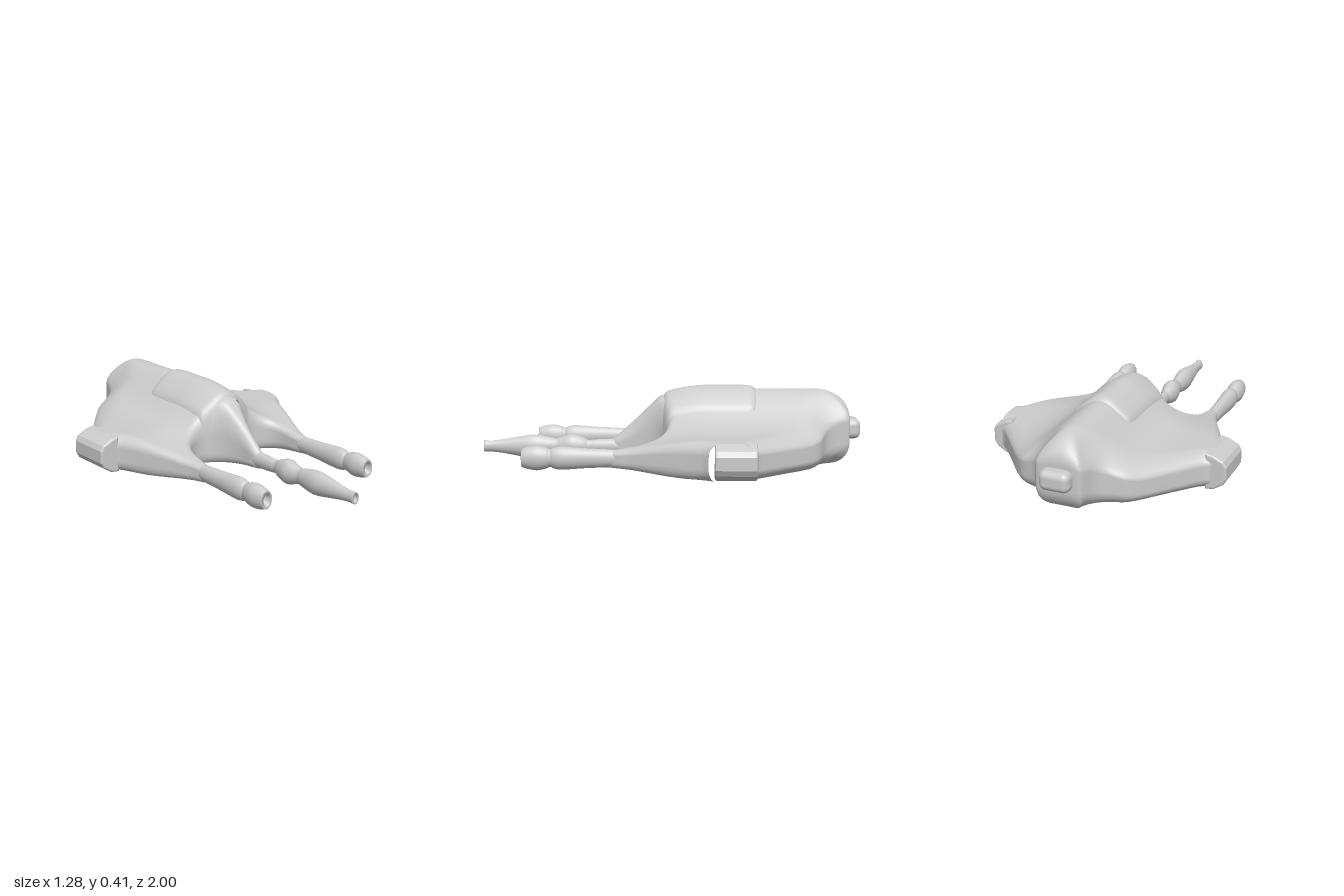
import * as THREE from 'three';
import { RoundedBoxGeometry } from 'three/addons/geometries/RoundedBoxGeometry.js';

const CX = 0.02; // centre line of the hull
const { lerp, smoothstep } = THREE.MathUtils;
const material = new THREE.MeshStandardMaterial({ color: 0xcccccc });
const thin = new THREE.MeshStandardMaterial({ color: 0xcccccc, side: THREE.DoubleSide });
const spline = (pts) => new THREE.SplineCurve(pts.map(([a, b]) => new THREE.Vector2(a, b)));

// Half outlines in (distance from centre line, z)
const FRONT = [[0, 0.34], [0.028, 0.29], [0.043, 0.18], [0.075, 0.09], [0.12, 0.04], [0.17, 0.025],
  [0.22, 0.035], [0.27, 0.07], [0.3, 0.14], [0.313, 0.26], [0.343, 0.34], [0.373, 0.27],
  [0.39, 0.21], [0.43, 0.11], [0.48, 0], [0.53, -0.11], [0.56, -0.17], [0.585, -0.2]];
const BACK = [[0, -0.94], [0.1, -0.94], [0.125, -0.925], [0.145, -0.86], [0.19, -0.81], [0.28, -0.77],
  [0.35, -0.7], [0.45, -0.575], [0.55, -0.455], [0.6, -0.43]];

// Upper hull height: flat wings plus a central hump that slopes down to the nose
function hullTop(u, z) {
  const wing = lerp(0.2, 0.125, smoothstep(z, -0.2, 0.3));
  const hump = 0.195 * THREE.MathUtils.clamp((0.31 - z) / 0.25, 0, 1);
  return wing + hump * Math.exp(-((u / 0.19) ** 2));
}

function segmentDistance(px, pz, a, b) {
  const dx = b[0] - a[0], dz = b[1] - a[1];
  const t = THREE.MathUtils.clamp(((px - a[0]) * dx + (pz - a[1]) * dz) / (dx * dx + dz * dz || 1), 0, 1);
  return Math.hypot(px - a[0] - t * dx, pz - a[1] - t * dz);
}

// Joins equal rings or rows of points into a smooth surface
function loft(rows, closed) {
  const n = rows[0].length, index = [];
  for (let i = 0; i < rows.length - 1; i++) {
    for (let k = 0; k < (closed ? n : n - 1); k++) {
      const a = i * n + k, d = i * n + (k + 1) % n;
      index.push(a, d, a + n, a + n, d, d + n);
    }
  }
  const g = new THREE.BufferGeometry();
  g.setAttribute('position', new THREE.Float32BufferAttribute(rows.flat(2), 3));
  g.setIndex(index);
  g.computeVertexNormals();
  return g;
}

// Hull: one closed ring per x station, rounded by distance to the outline
function hullGeometry() {
  const backPts = spline(BACK).getPoints(150);
  const backAt = (u) => {
    const i = Math.max(1, backPts.findIndex((p) => p.x >= u));
    const a = backPts[i - 1], b = backPts[i];
    return lerp(a.y, b.y, (u - a.x) / (b.x - a.x || 1));
  };
  const half = spline(FRONT).getSpacedPoints(90).map((p) => [p.x, p.y]);
  const front = [...half.slice(1).reverse().map(([u, z]) => [-u, z]), ...half];
  const back = front.map(([u]) => [u, backAt(Math.abs(u))]);
  const edgeDistance = (u, z) => {
    let d = 1;
    for (const line of [front, back]) {
      for (let i = 1; i < line.length; i++) d = Math.min(d, segmentDistance(u, z, line[i - 1], line[i]));
    }
    return d;
  };
  const round = (d, r) => 0.35 + 0.65 * Math.sqrt(1 - (1 - Math.min(d / r, 1)) ** 2);
  const N = 44;
  const rings = front.map(([u, zf], i) => {
    const upper = [], lower = [];
    for (let j = 0; j <= N; j++) {
      const z = lerp(back[i][1], zf, (1 - Math.cos(Math.PI * j / N)) / 2);
      const d = edgeDistance(u, z);
      const r = lerp(0.17, 0.04, smoothstep(z, -0.95, 0.1));
      const mid = 0.1 + 0.09 * smoothstep(-z, 0.7, 0.94) - 0.02 * smoothstep(z, 0, 0.3);
      const base = 0.005 + 0.025 * smoothstep(z, -0.1, 0.3);
      upper.push([u + CX, mid + (hullTop(u, z) - mid) * round(d, r), z]);
      lower.push([u + CX, mid - (mid - base) * round(d, r * 0.7), z]);
    }
    return [...upper, ...lower.reverse()];
  });
  return loft(rings, true);
}

// Canopy: a raised panel following the hump, with its rim turned down
function canopyGeometry() {
  const N = 40, rows = [];
  const ease = (i) => Math.sin((i / N - 0.5) * Math.PI);
  for (let i = 0; i <= N; i++) {
    const row = [];
    for (let j = 0; j <= N; j++) {
      const s = ease(i), t = ease(j);
      const u = 0.172 * s * (1 - 0.1 * t ** 12);
      const zEnd = t > 0 ? 0.06 - 0.035 * s * s : -0.46 + 0.025 * s ** 12;
      const z = lerp(-0.2, zEnd, Math.abs(t));
      const rim = Math.max(Math.abs(s), Math.abs(t)) ** 16;
      row.push([u + CX, hullTop(u, z) + 0.02 - 0.045 * rim - (t > 0 ? 0.07 * t ** 20 : 0), z]);
    }
    rows.push(row);
  }
  return loft(rows, false);
}

// Gun barrel turned along z, with an oval section and a hollow muzzle
function barrelGeometry(profile) {
  const [zEnd, rEnd] = profile[profile.length - 1];
  const pts = spline(profile).getPoints(60);
  const outline = pts.map((p) => new THREE.Vector2(p.y, p.x));
  for (const [r, dz] of [[0.62, 0], [0.5, 0.045], [0, 0.05]]) outline.push(new THREE.Vector2(rEnd * r, zEnd - dz));
  return new THREE.LatheGeometry(outline, 28).rotateX(Math.PI / 2).scale(1, 1.38, 1);
}

// Wing tip: chamfered block, outer face at x = 0
function tipGeometry(depth) {
  const b = 0.012;
  const shape = new THREE.Shape([[-0.1, 0.018], [-0.07, 0.022], [-0.026, 0.05], [-b, 0.075], [-b, 0.135],
    [-0.024, 0.156], [-0.075, 0.181], [-0.1, 0.186]].map(([x, y]) => new THREE.Vector2(x, y)));
  return new THREE.ExtrudeGeometry(shape, {
    depth: depth - 2 * b, bevelEnabled: true, bevelSize: b, bevelThickness: b, bevelSegments: 3,
  }).translate(0, 0, b - depth / 2);
}

export function createModel() {
  const model = new THREE.Group();
  const add = (name, geometry, x = 0, y = 0, z = 0, mat = material) => {
    const mesh = new THREE.Mesh(geometry, mat);
    mesh.name = name;
    mesh.position.set(x, y, z);
    model.add(mesh);
    return mesh;
  };

  add('hull', hullGeometry());
  add('canopy', canopyGeometry(), 0, 0, 0, thin);
  add('rearKnob', new RoundedBoxGeometry(0.16, 0.105, 0.12, 5, 0.035), CX, 0.19, -0.94);

  // Guns
  const side = barrelGeometry([[0.18, 0.026], [0.3, 0.033], [0.42, 0.037], [0.54, 0.043], [0.585, 0.039],
    [0.605, 0.033], [0.625, 0.039], [0.67, 0.046], [0.72, 0.041], [0.75, 0.034]]);
  add('rightGun', side, -0.325, 0.08, 0, thin);
  add('leftGun', side, 0.36, 0.08, 0, thin);
  add('centreGun', barrelGeometry([[0.2, 0.03], [0.3, 0.031], [0.4, 0.028], [0.44, 0.026], [0.47, 0.037],
    [0.53, 0.048], [0.585, 0.037], [0.615, 0.031], [0.65, 0.037], [0.73, 0.046], [0.8, 0.04],
    [0.9, 0.027], [0.96, 0.022], [1, 0.023]]), CX, 0.08, 0, thin);

  // Wing tips
  add('leftWingTip', tipGeometry(0.21), 0.64, 0, -0.335);
  add('rightWingTip', tipGeometry(0.25), -0.645, 0, -0.305).rotation.y = Math.PI;
  return model;
}
